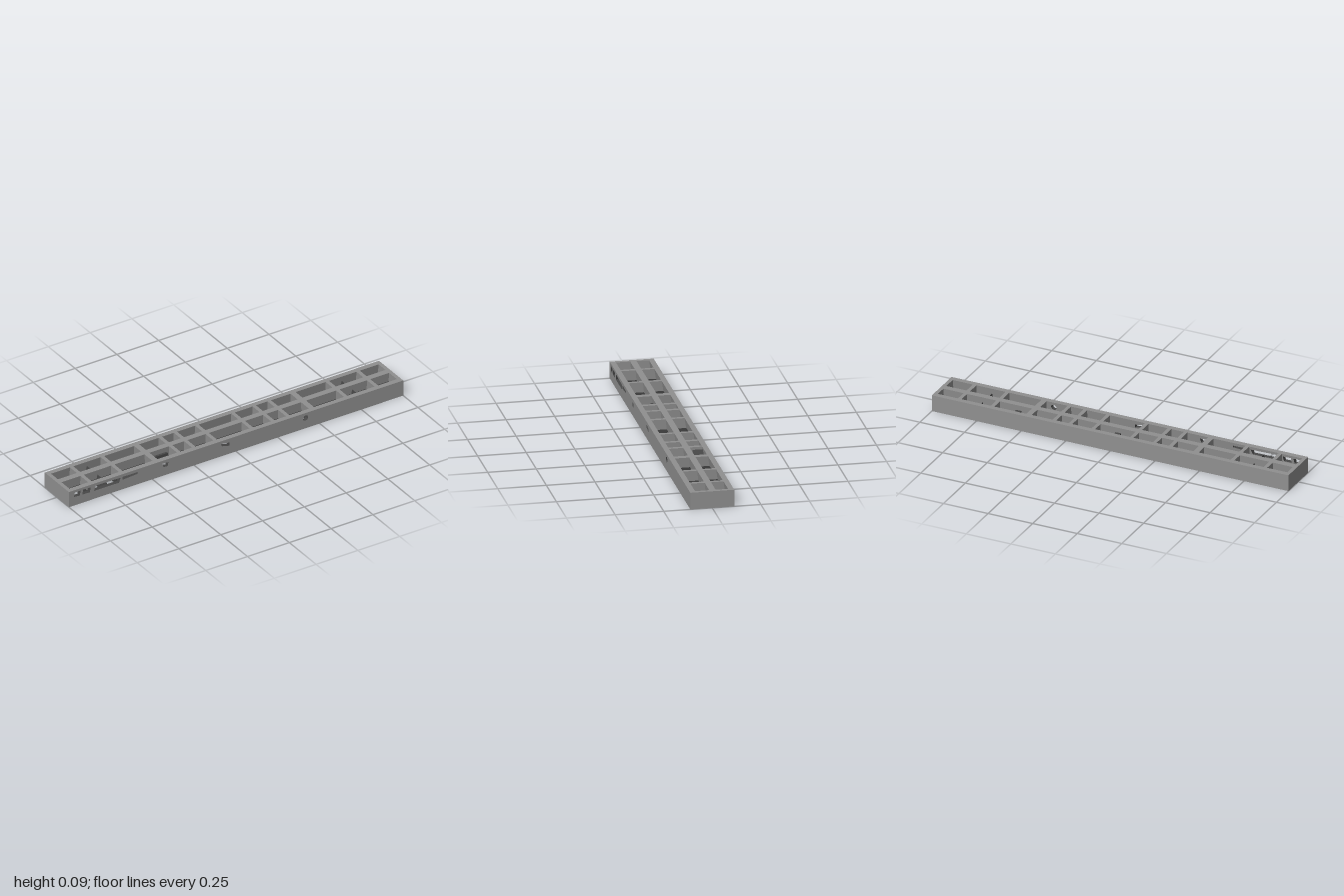
import * as THREE from 'three';

const L = 1, W = 0.113, H = 0.089, T = 0.028, BASE = 0.014, END = 0.02;
const LOW = 0.035, LIP = 0.08, X = L - END;

// Walls, rail and ribs are drafted: broad at the top, narrow at the bottom
const draft = (low, high, y) => THREE.MathUtils.lerp(low, high, y / H);
const wallFace = y => W - draft(BASE, T, y);
const railBack = y => draft(-0.012, -0.021, y);
const railFront = y => draft(0.003, 0.012, y);

export function createModel() {
  const model = new THREE.Group();
  const material = (name, color) => {
    const m = new THREE.MeshStandardMaterial({ color });
    m.name = name;
    return m;
  };
  const grey = material('grey', 0x909090);
  const dark = material('darkGrey', 0x484848);

  const add = (name, geo, mat) => {
    geo.computeVertexNormals();
    const mesh = new THREE.Mesh(geo, mat);
    mesh.name = name;
    model.add(mesh);
  };

  // Block from y0 to y1 whose rectangle [x0, x1, z0, z1] is a function of height
  const block = (name, y0, y1, mat, rect) => {
    const geo = new THREE.BoxGeometry(1, 1, 1).toNonIndexed();
    const p = geo.attributes.position;
    for (let i = 0; i < p.count; i++) {
      const y = p.getY(i) < 0 ? y0 : y1;
      const [x0, x1, z0, z1] = rect(y);
      p.setXYZ(i, p.getX(i) < 0 ? x0 : x1, y, p.getZ(i) < 0 ? z0 : z1);
    }
    add(name, geo, mat);
  };

  // Grey upper part on a dark lower part; faces listed in outer (+x, -x, +z, -z) stay grey
  const member = (name, rect, outer = '') => {
    const faces = ['+x', '-x', '+y', '-y', '+z', '-z'];
    block(name + 'Base', 0, LOW, faces.map(f => (outer.includes(f) ? grey : dark)), rect);
    block(name, LOW, H, grey, rect);
  };

  // Front wall: base, middle band pierced by ragged slots and a round hole, top lip
  const frontRect = y => [-X, X, wallFace(y), W];
  block('frontWallBase', 0, LOW, [dark, dark, dark, dark, grey, dark], frontRect);
  block('frontWallLip', LIP, H, grey, frontRect);
  const band = new THREE.Shape([[-X, LOW], [X, LOW], [X, LIP], [-X, LIP]].map(p => new THREE.Vector2(...p)));
  const slots = [
    [[-0.97, 0.05], [-0.935, 0.047], [-0.93, 0.075], [-0.965, 0.075]],
    [[-0.92, 0.048], [-0.875, 0.047], [-0.87, 0.074], [-0.915, 0.075]],
    [[-0.85, 0.047], [-0.7, 0.046], [-0.69, 0.072], [-0.84, 0.075]],
    [[-0.68, 0.056], [-0.59, 0.062], [-0.59, 0.072], [-0.68, 0.073]],
    [[-0.435, 0.05], [-0.41, 0.048], [-0.405, 0.07], [-0.44, 0.072]],
    [[-0.085, 0.058], [-0.04, 0.047], [-0.04, 0.066], [-0.09, 0.073]],
  ];
  for (const s of slots) band.holes.push(new THREE.Path(s.map(p => new THREE.Vector2(...p))));
  band.holes.push(new THREE.Path().absarc(0.415, 0.06, 0.015, 0, Math.PI * 2));
  const bandGeo = new THREE.ExtrudeGeometry(band, { depth: T, bevelEnabled: false, curveSegments: 8 });
  const pos = bandGeo.attributes.position;
  for (let i = 0; i < pos.count; i++)
    pos.setZ(i, pos.getZ(i) < T / 2 ? wallFace(pos.getY(i)) : W);
  add('frontWallBand', bandGeo, [grey, dark]);

  // Back wall, end walls and central rail
  member('backWall', y => [-X, X, -W, -wallFace(y)], '-z');
  member('rightEnd', () => [-L, -X, -W, W], '-x +z -z');
  member('leftEnd', () => [X, L, -W, W], '+x +z -z');
  member('centreRail', y => [-X, X, railBack(y), railFront(y)]);

  // Cross ribs, mirrored about the middle, in both rows of cells
  const rows = [y => [-wallFace(y), railBack(y)], y => [railFront(y), wallFace(y)]];
  const ribs = [[0.108, 0.02], [0.236, 0.02], [0.326, 0.02], [0.468, 0.03], [0.673, 0.02], [0.857, 0.02]];
  for (const side of [-1, 1])
    for (const row of rows) {
      for (const [x, top] of ribs)
        member('crossRib', y => {
          const half = draft(0.012, top, y) / 2;
          return [side * x - half, side * x + half, ...row(y)];
        });
      // Low sharp ridge between the two outer ribs
      block('lowRidge', 0, 0.06, dark, y => {
        const half = y ? 0.001 : 0.01;
        return [side * 0.762 - half, side * 0.762 + half, ...row(y)];
      });
    }

  // Steep gusset beside a rib, and small nubs on the rail
  block('gusset', 0, 0.075, dark, y => [0.33, y ? 0.335 : 0.385, -wallFace(y), -0.035]);
  for (const x of [0, 0.56])
    block('railNub', 0.03, 0.06, dark, y => [x - 0.015, x + 0.015, -0.033, railBack(y)]);
  block('railNub', 0.03, 0.06, dark, y => [-0.43, -0.35, railFront(y), 0.022]);

  return model;
}
